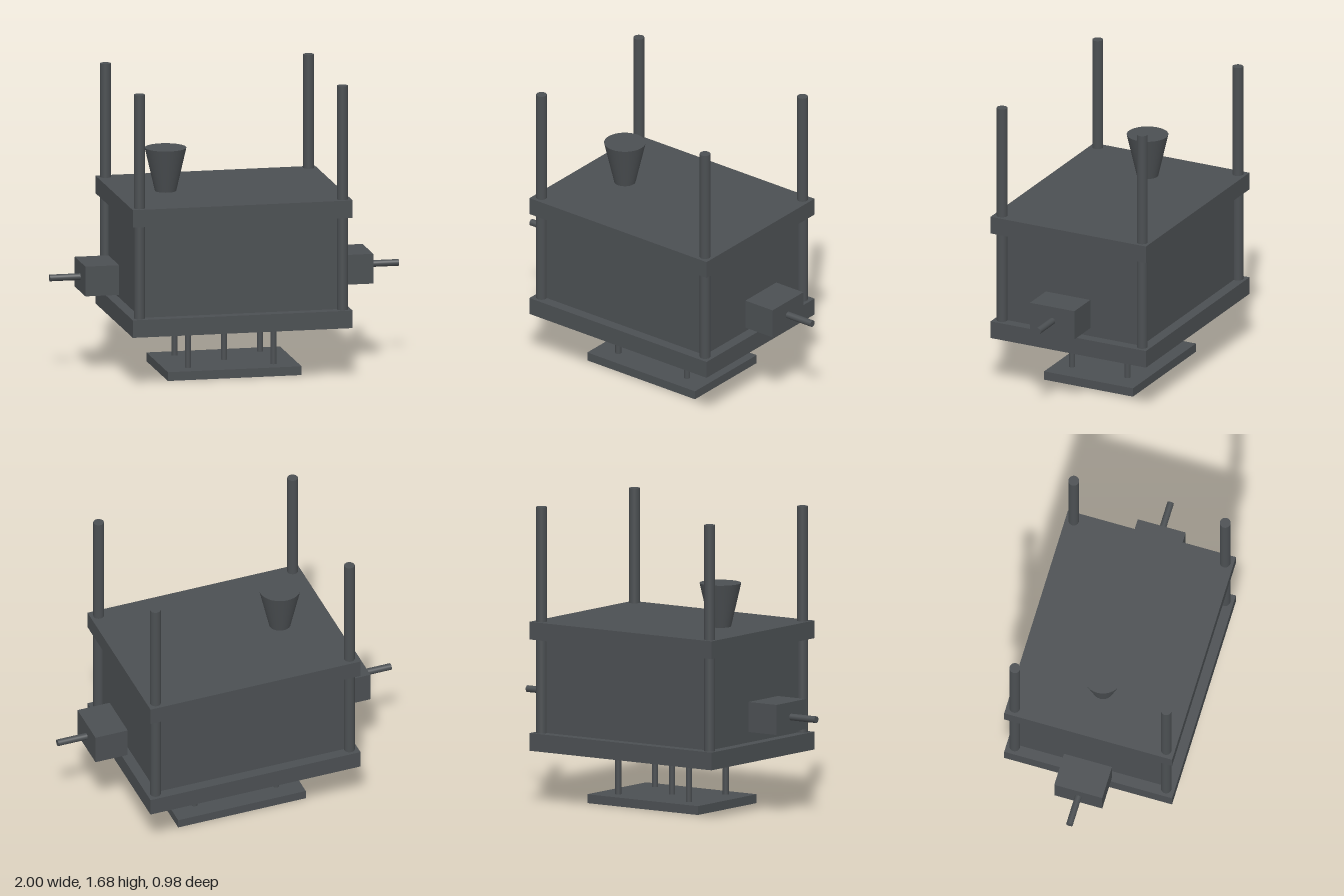
import * as THREE from 'three';

export function createModel() {
  const model = new THREE.Group();
  const metal = new THREE.MeshStandardMaterial({ color: 0x4b4f52 });

  const add = (name, geometry, x, y, z) => {
    const mesh = new THREE.Mesh(geometry, metal);
    mesh.name = name;
    mesh.position.set(x, y, z);
    model.add(mesh);
    return mesh;
  };
  // Box and upright rod given by their bottom and top heights
  const box = (name, w, d, y0, y1, x = 0, z = 0) =>
    add(name, new THREE.BoxGeometry(w, y1 - y0, d), x, (y0 + y1) / 2, z);
  const rod = (name, rTop, rBottom, y0, y1, x, z) =>
    add(name, new THREE.CylinderGeometry(rTop, rBottom, y1 - y0, 32), x, (y0 + y1) / 2, z);

  // Chamber between two plates
  box('basePlate', 1.26, 0.98, 0.3, 0.4);
  box('chamber', 1.14, 0.86, 0.4, 0.93);
  box('lidPlate', 1.26, 0.98, 0.93, 1.03);

  // Ejector plate on five pins below
  box('ejectorPlate', 0.766, 0.56, 0, 0.05);
  rod('centrePin', 0.017, 0.017, 0.05, 0.3, 0, 0);

  // Feed funnel on the lid
  rod('funnel', 0.117, 0.06, 1.03, 1.277, -0.335, 0);

  for (const sx of [-1, 1]) {
    // Corner guide pillars and pins
    for (const sz of [-1, 1]) {
      rod('guidePillar', 0.03, 0.03, 0.35, 1.68, sx * 0.582, sz * 0.442);
      rod('ejectorPin', 0.017, 0.017, 0.05, 0.3, sx * 0.245, sz * 0.175);
    }
    // Side block with its shaft
    box('sideBlock', 0.193, 0.28, 0.475, 0.645, sx * 0.7285);
    const shaft = add('sideShaft', new THREE.CylinderGeometry(0.019, 0.019, 0.18, 32), sx * 0.91, 0.56, 0);
    shaft.rotation.z = Math.PI / 2;
  }
  return model;
}
